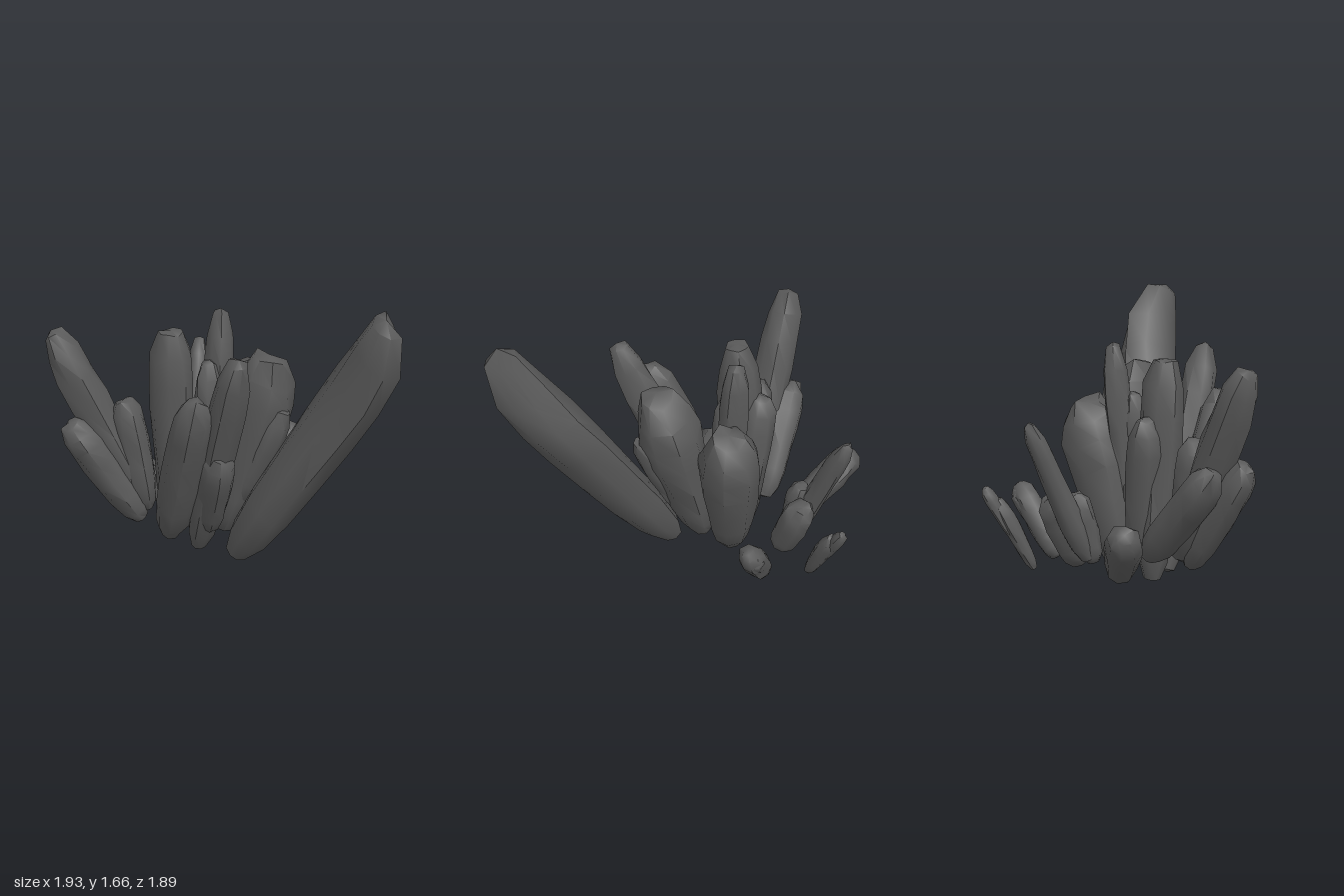
import * as THREE from 'three';
import { toCreasedNormals } from 'three/addons/utils/BufferGeometryUtils.js';

const material = new THREE.MeshStandardMaterial({ color: 0x5a5a5a });

// Repeatable noise in -1..1
function seeded(seed) {
  let s = seed * 7919 + 17;
  return () => {
    s = (s * 16807) % 2147483647;
    return (s / 2147483647) * 2 - 1;
  };
}

// Outline of a crystal: [radius, height], both as fractions
const profile = [
  [0, 0], [0.48, 0.01], [0.84, 0.1], [0.98, 0.24], [1, 0.42],
  [1.02, 0.6], [1, 0.75], [0.9, 0.88], [0.52, 0.98], [0, 1],
].map(([r, h]) => new THREE.Vector2(r, h));

// Share of the apex skew taken by the last three rings
const apexPull = { 7: 0.2, 8: 0.75, 9: 1 };

// Irregular prism from base to tip; foot scales the lower end,
// depth widens it in z, skew moves its point sideways
function crystal(seed, name, base, tip, radius, foot, depth = 1, skew = [0, 0, 0]) {
  const sides = 8;
  const rings = profile.length;
  const random = seeded(seed);
  const from = new THREE.Vector3(...base);
  const axis = new THREE.Vector3(...tip).sub(from);
  const length = axis.length();
  const turnUp = new THREE.Quaternion().setFromUnitVectors(
    new THREE.Vector3(0, 1, 0), axis.normalize());
  const localSkew = new THREE.Vector3(...skew).applyQuaternion(turnUp.clone().invert());
  const geometry = new THREE.LatheGeometry(profile, sides);
  const pos = geometry.attributes.position;

  const sideJitter = Array.from({ length: sides }, () => 1 + 0.07 * random());
  const jitter = Array.from({ length: sides * rings }, () => random());
  const turn = random() * Math.PI;
  const v = new THREE.Vector3();
  for (let i = 0; i <= sides; i++) {
    for (let j = 0; j < rings; j++) {
      const side = i % sides;
      const n = jitter[side * rings + j];
      const { x: r, y: h } = profile[j];
      const taper = foot + (1 - foot) * Math.min(1, h / 0.65);
      const rad = r * radius * taper * sideJitter[side] * (1 + 0.07 * n);
      const a = turn + (side / sides) * Math.PI * 2;
      const lift = r > 0 && j > 1 ? 0.15 * radius * n : 0;
      v.set(Math.sin(a) * rad, h * length + lift, Math.cos(a) * rad * depth);
      v.addScaledVector(localSkew, apexPull[j] ?? 0);
      pos.setXYZ(i * rings + j, v.x, v.y, v.z);
    }
  }
  const mesh = new THREE.Mesh(toCreasedNormals(geometry, 0.95), material);
  mesh.name = name;
  mesh.position.copy(from);
  mesh.quaternion.copy(turnUp);
  return mesh;
}

// Each entry: name, base, tip, radius, foot, then optional depth and skew
const outerCrystals = [
  ['tallOuterCrystal', [-0.42, 0.2, 0], [-0.95, 1.35, 0.05], 0.113, 1],
  ['lowOuterCrystal', [-0.45, 0.15, 0.05], [-0.86, 0.81, 0.13], 0.113, 0.85],
  ['lowOuterBackCrystal', [-0.32, 0.2, -0.15], [-0.82, 0.78, -0.07], 0.11, 0.95],
  ['outerStub', [-0.42, 0.2, 0.02], [-0.54, 0.92, 0.03], 0.105, 0.85],
];

const frontCrystals = [
  ['largeCrystal', [0.11, 0.03, 0.27], [0.97, 1.58, 0.77], 0.165, 0.86, 1.27, [-0.11, 0.08, 0.09]],
  ['frontCrystal', [-0.28, 0.1, 0.16], [-0.11, 1.1, 0.56], 0.125, 0.95],
  ['frontTallCrystal', [-0.11, 0.01, 0.14], [0.12, 1.36, 0.61], 0.108, 0.95],
  ['frontNub', [-0.05, 0.15, 0.2], [0.02, 0.74, 0.47], 0.1, 0.85],
];

const coreCrystals = [
  ['flatTopCrystal', [-0.25, 0.03, -0.07], [-0.26, 1.34, 0.02], 0.13, 0.8],
  ['rearInnerCrystal', [-0.17, 0.12, -0.08], [-0.28, 1.02, -0.14], 0.11, 0.85],
  ['centreTallCrystal', [-0.03, 0.1, -0.05], [0.03, 1.42, -0.15], 0.085, 0.95],
  ['centreNub', [-0.03, 0.2, 0], [-0.04, 1.13, -0.06], 0.088, 0.9],
  ['rearBroadCrystal', [-0.02, 0.03, -0.09], [0.23, 1.08, -0.22], 0.183, 0.65],
  ['sideBroadCrystal', [0.04, 0.1, 0.08], [0.34, 1.23, 0.18], 0.178, 0.65, 1, [-0.04, 0.03, 0.04]],
  ['sideNub', [0.12, 0.3, 0.15], [0.38, 0.95, 0.28], 0.09, 0.8],
  ['rootCrystal', [-0.13, 0.16, 0.02], [-0.08, 0.75, 0.04], 0.19, 0.75],
];

const looseCrystals = [
  ['looseLeaningCrystal', [-0.34, 0.14, -0.37], [-0.71, 0.49, -0.59], 0.103, 0.9],
  ['looseSideCrystal', [0.2, 0.13, -0.44], [0.52, 0.54, -0.52], 0.08, 0.9],
  ['looseSideTip', [0.34, 0.28, -0.47], [0.5, 0.5, -0.54], 0.06, 0.9],
  ['looseTallCrystal', [-0.16, 0.2, -0.46], [-0.1, 1.03, -0.81], 0.063, 1.25],
  ['looseShortCrystal', [-0.03, 0.14, -0.43], [0.02, 0.56, -0.6], 0.1, 0.85],
  ['looseShortNub', [-0.16, 0.18, -0.42], [-0.12, 0.6, -0.52], 0.075, 0.9],
  ['looseSmallCrystal', [0.07, 0.13, -0.68], [0.16, 0.56, -0.87], 0.053, 0.75],
  ['looseSmallTip', [0.11, 0.33, -0.79], [0.18, 0.63, -0.94], 0.04, 0.9],
];

export function createModel() {
  const model = new THREE.Group();
  model.name = 'crystalCluster';
  let seed = 1;
  const clusters = { outerCrystals, frontCrystals, coreCrystals, looseCrystals };
  for (const [name, list] of Object.entries(clusters)) {
    const group = new THREE.Group();
    group.name = name;
    for (const spec of list) group.add(crystal(seed++, ...spec));
    model.add(group);
  }
  return model;
}
